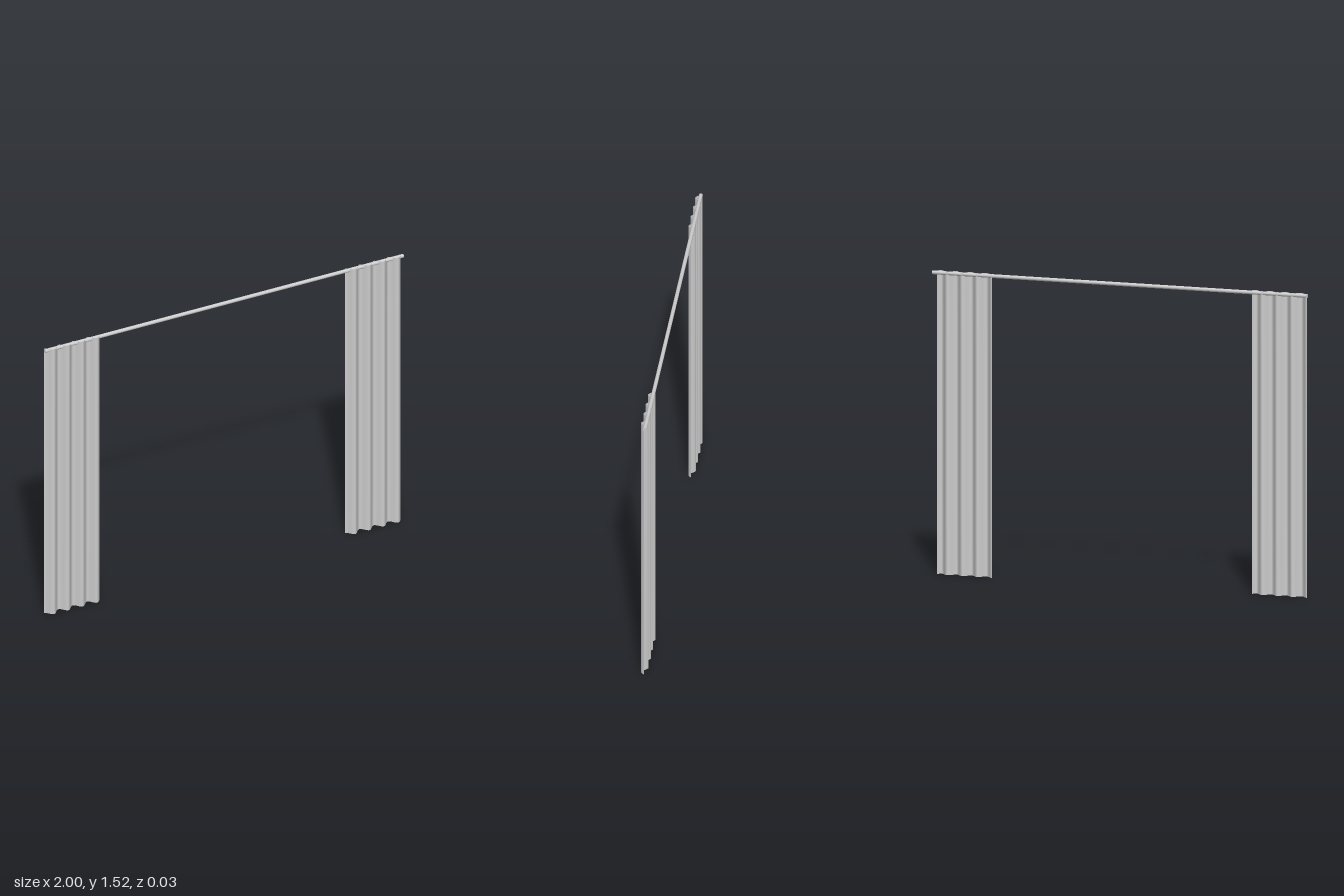
import * as THREE from 'three';

const HEIGHT = 1.52;
const PANEL_WIDTH = 0.3;
const FOLD_PERIOD = 0.08;
const FOLD_DEPTH = 0.016;

// Thin cloth sheet whose folds run straight from top to bottom
function pleatedPanel(startX) {
  const geo = new THREE.PlaneGeometry(PANEL_WIDTH, HEIGHT, 90, 4);
  geo.translate(PANEL_WIDTH / 2, HEIGHT / 2, 0);
  const pos = geo.attributes.position;
  for (let i = 0; i < pos.count; i++) {
    const phase = (pos.getX(i) / FOLD_PERIOD) * Math.PI * 2;
    pos.setZ(i, -FOLD_DEPTH * Math.cos(phase));
  }
  geo.translate(startX, 0, 0);
  geo.computeVertexNormals();
  return geo;
}

export function createModel() {
  const group = new THREE.Group();
  group.name = 'curtains';
  const metal = new THREE.MeshStandardMaterial({ color: 0xcccccc });
  const cloth = new THREE.MeshStandardMaterial({ color: 0xcccccc, side: THREE.DoubleSide });

  // Horizontal rod, just behind the middle of the folds
  const radius = 0.0095;
  const rod = new THREE.Mesh(new THREE.CylinderGeometry(radius, radius, 2, 24), metal);
  rod.name = 'rod';
  rod.rotation.z = Math.PI / 2;
  rod.position.set(0, HEIGHT - radius, -0.0075);
  group.add(rod);

  // Two identical panels, one at each end
  for (const [name, startX] of [['rightCurtain', -1], ['leftCurtain', 0.68]]) {
    const panel = new THREE.Mesh(pleatedPanel(startX), cloth);
    panel.name = name;
    group.add(panel);
  }
  return group;
}
